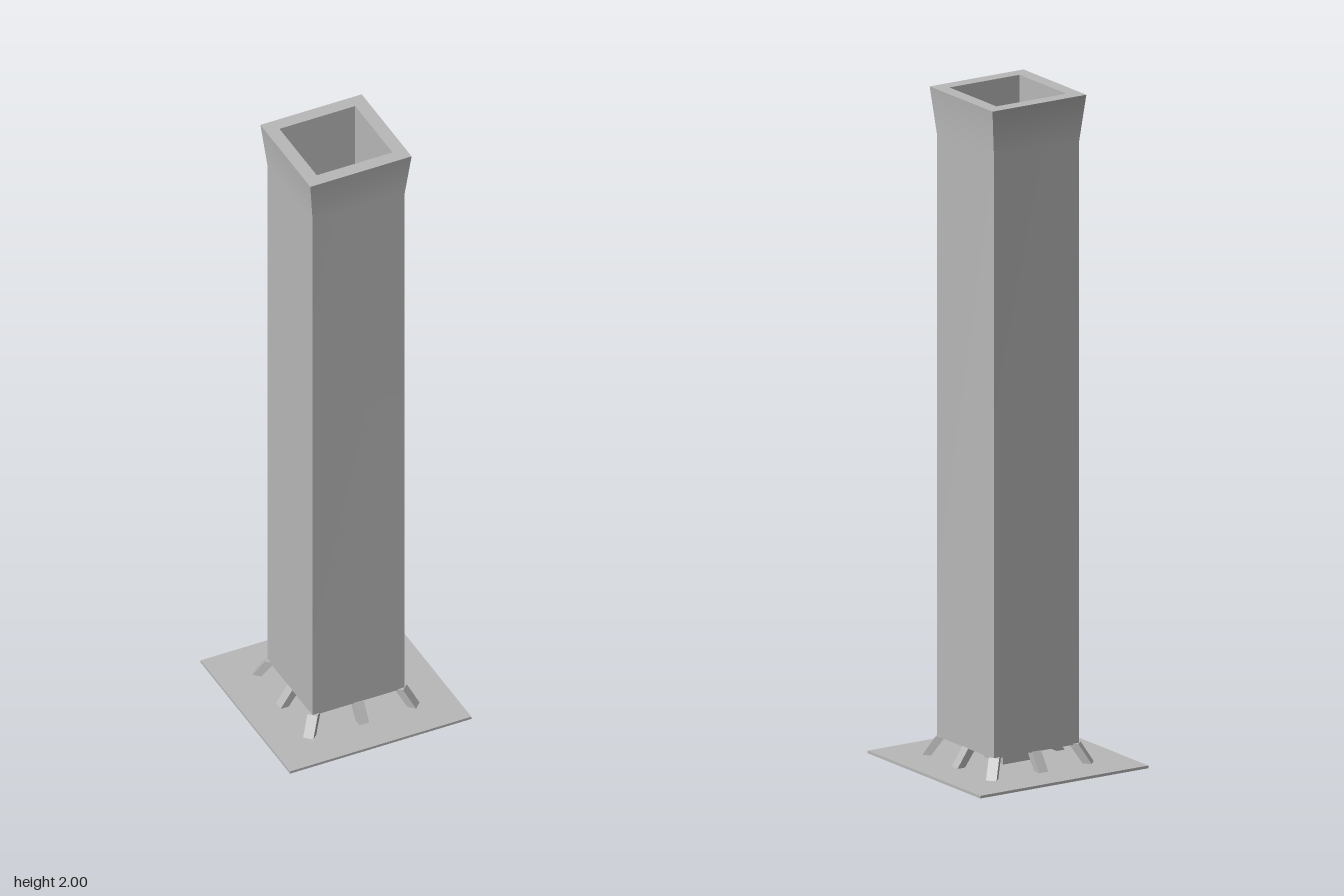
import * as THREE from 'three';

const stone = new THREE.MeshStandardMaterial({ color: 0xb8b8b8 });
stone.name = 'grey stone';

const BODY = 0.147, FLARE = 0.162, HOLE = 0.121;
const BOTTOM = 0.066, NECK = 1.86, TOP = 2, FLOOR = 0.1;

function add(parent, name, geometry) {
  const mesh = new THREE.Mesh(geometry, stone);
  mesh.name = name;
  parent.add(mesh);
  return mesh;
}

function squareShape(half) {
  return new THREE.Shape([[-1, -1], [1, -1], [1, 1], [-1, 1]].map(([x, y]) => new THREE.Vector2(x * half, y * half)));
}

// One outer wall: straight shaft, then an outward flare, smooth along its height
function wallGeometry() {
  const geo = new THREE.PlaneGeometry(2, 1, 1, 2);
  const rows = [[FLARE, TOP], [BODY, NECK], [BODY, BOTTOM]];
  const pos = geo.attributes.position;
  for (let i = 0; i < pos.count; i++) {
    const [half, y] = rows[Math.floor(i / 2)];
    pos.setXYZ(i, Math.sign(pos.getX(i)) * half, y, half);
  }
  geo.computeVertexNormals();
  return geo;
}

// Slanted foot with its profile running outward along +x
function footGeometry(offset) {
  const width = 0.031;
  const profile = [[0.12, 0.069], [0.12, 0.066], [0.16, 0.01], [0.186, 0.01], [0.146, 0.069]];
  const shape = new THREE.Shape(profile.map(([r, y]) => new THREE.Vector2(r + offset, y)));
  return new THREE.ExtrudeGeometry(shape, { depth: width, bevelEnabled: false }).translate(0, 0, -width / 2);
}

export function createModel() {
  const model = new THREE.Group();
  model.name = 'squareChimney';

  // Ground plate and the short post that carries the shaft
  add(model, 'basePlate', new THREE.BoxGeometry(0.58, 0.008, 0.58)).position.y = 0.008;
  add(model, 'centrePost', new THREE.BoxGeometry(0.1, 0.07, 0.1)).position.y = 0.035;

  // Outer and inner walls of the hollow shaft
  const shaft = new THREE.Group();
  shaft.name = 'shaft';
  model.add(shaft);
  const wall = wallGeometry();
  const lining = new THREE.PlaneGeometry(HOLE * 2, TOP - FLOOR).translate(0, (TOP + FLOOR) / 2, -HOLE);
  for (let i = 0; i < 4; i++) {
    add(shaft, 'outerWall', wall).rotation.y = i * Math.PI / 2;
    add(shaft, 'innerWall', lining).rotation.y = i * Math.PI / 2;
  }

  // Rim, inner floor and underside
  const rim = squareShape(FLARE);
  rim.holes.push(squareShape(HOLE));
  add(shaft, 'rim', new THREE.ShapeGeometry(rim).rotateX(-Math.PI / 2).translate(0, TOP, 0));
  add(shaft, 'innerFloor', new THREE.PlaneGeometry(HOLE * 2, HOLE * 2).rotateX(-Math.PI / 2).translate(0, FLOOR, 0));
  add(shaft, 'underside', new THREE.PlaneGeometry(BODY * 2, BODY * 2).rotateX(Math.PI / 2).translate(0, BOTTOM, 0));

  // Eight feet: one per side and one per corner
  const feet = new THREE.Group();
  feet.name = 'feet';
  model.add(feet);
  const sideFoot = footGeometry(0), cornerFoot = footGeometry(0.063);
  for (let i = 0; i < 8; i++) {
    add(feet, i % 2 ? 'cornerFoot' : 'sideFoot', i % 2 ? cornerFoot : sideFoot).rotation.y = i * Math.PI / 4;
  }
  return model;
}
